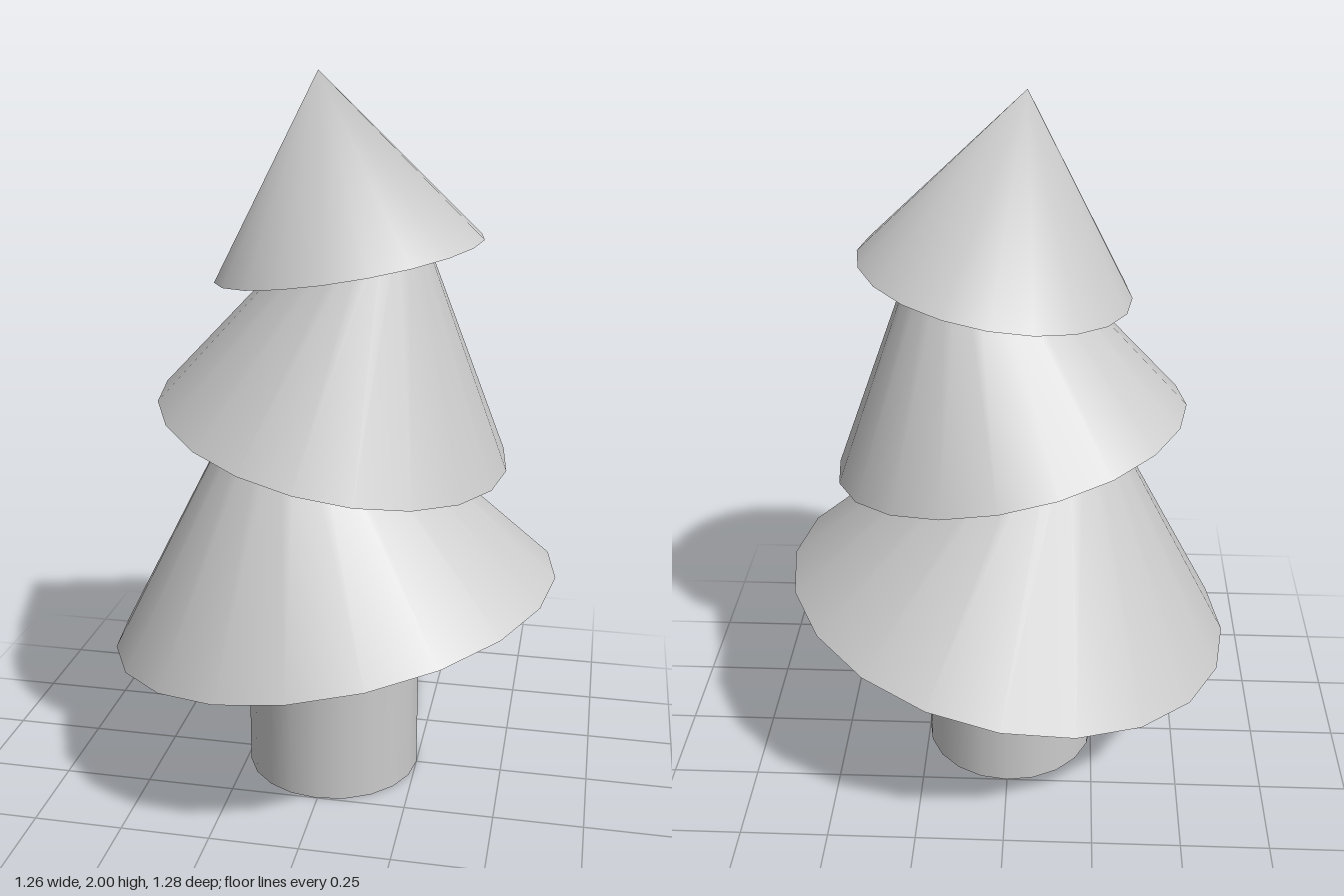
import * as THREE from 'three';

const SIDES = 20;
const material = new THREE.MeshStandardMaterial({ color: 0xcccccc });

// Cone or frustum standing on its own origin
function taper(name, topRadius, bottomRadius, height) {
  const geometry = new THREE.CylinderGeometry(topRadius, bottomRadius, height, SIDES);
  geometry.translate(0, height / 2, 0);
  // A pointed tip shares one normal along its axis
  if (topRadius === 0) {
    const { position, normal } = geometry.attributes;
    for (let i = 0; i < position.count; i++) {
      if (position.getY(i) > height - 1e-5) normal.setXYZ(i, 0, 1, 0);
    }
  }
  const mesh = new THREE.Mesh(geometry, material);
  mesh.name = name;
  return mesh;
}

export function createModel() {
  const tree = new THREE.Group();
  tree.name = 'tree';

  // Trunk, ending inside the lowest tier
  tree.add(taper('trunk', 0.25, 0.25, 0.75));

  // Foliage tiers tilted alternately; the lower two are cut off inside the tier above
  const tiers = [
    { name: 'lowerFoliage', x: 0, y: 0.51, top: 0.136, bottom: 0.642, height: 0.65, yaw: 0, tilt: 0.188 },
    { name: 'middleFoliage', x: 0, y: 1.04, top: 0.122, bottom: 0.493, height: 0.6, yaw: -0.33, tilt: -0.218 },
    { name: 'upperFoliage', x: 0.04, y: 1.512, top: 0, bottom: 0.367, height: 0.495, yaw: 0, tilt: 0.167 },
  ];
  for (const t of tiers) {
    const tier = taper(t.name, t.top, t.bottom, t.height);
    tier.position.set(t.x, t.y, 0);
    tier.rotation.set(0, t.yaw, t.tilt);
    tree.add(tier);
  }
  return tree;
}
